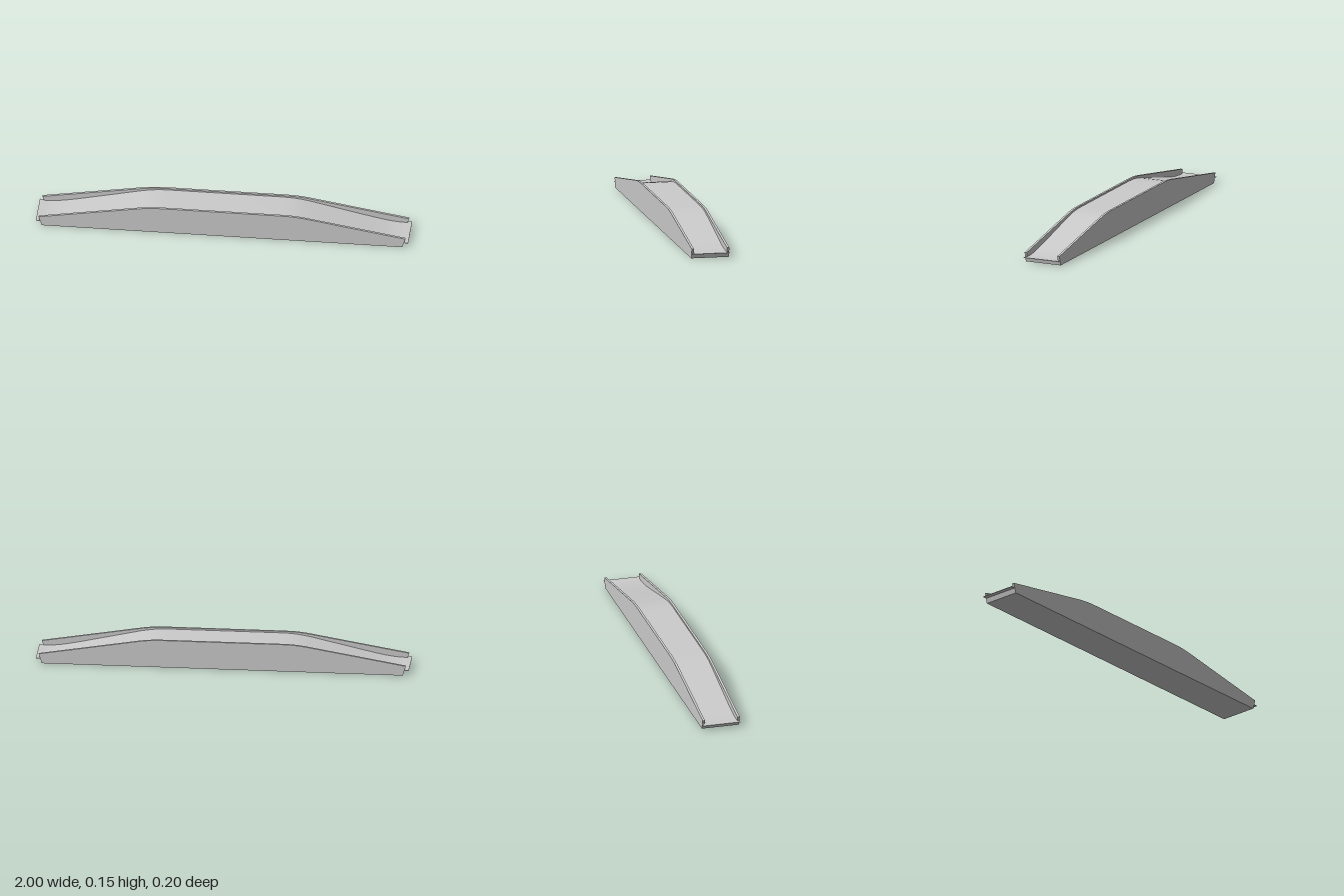
import * as THREE from 'three';
import { toCreasedNormals } from 'three/addons/utils/BufferGeometryUtils.js';

const material = new THREE.MeshStandardMaterial({ color: 0xcccccc });

// Mirrors a right-hand profile (bottom to middle) and extrudes it between z0 and z1
function extrudeProfile(name, half, z0, z1) {
  const points = half.map(([x, y]) => new THREE.Vector2(x, y));
  const mirrored = half.map(([x, y]) => new THREE.Vector2(-x, y)).reverse();
  const geometry = new THREE.ExtrudeGeometry(new THREE.Shape([...points, ...mirrored]), {
    depth: z1 - z0,
    bevelEnabled: false,
  });
  geometry.translate(0, 0, z0);
  const mesh = new THREE.Mesh(toCreasedNormals(geometry, 0.35), material);
  mesh.name = name;
  return mesh;
}

export function createModel() {
  const group = new THREE.Group();
  group.name = 'rampBridge';
  const inner = 0.09, outer = 0.1025;

  // Side walls with slanted ends and a softly rounded crest
  const wall = [[0.968, 0], [0.985, 0.053], [0.44, 0.145], [0.4, 0.15], [0.365, 0.1525], [0.32, 0.1535]];
  group.add(extrudeProfile('leftRightWallFront', wall, inner, outer));
  group.add(extrudeProfile('leftRightWallBack', wall, -outer, -inner));
  group.children[0].name = 'frontWall';
  group.children[1].name = 'backWall';

  // Solid body whose top is the curved deck, flat at the ends and in the middle
  const deck = [
    [0.968, 0], [0.977, 0.028], [0.94, 0.0295], [0.9, 0.033], [0.86, 0.039], [0.81, 0.049], [0.75, 0.062],
    [0.46, 0.128], [0.42, 0.1355], [0.38, 0.141], [0.34, 0.144], [0.3, 0.145],
  ];
  group.add(extrudeProfile('deck', deck, -inner, inner));

  // Thin entry lips reaching past the walls at both ends
  for (const side of [-1, 1]) {
    const lip = new THREE.Mesh(new THREE.BoxGeometry(0.06, 0.003, 0.203), material);
    lip.position.set(side * 0.97, 0.0275, 0);
    lip.name = side > 0 ? 'leftEntryLip' : 'rightEntryLip';
    group.add(lip);
  }
  return group;
}
